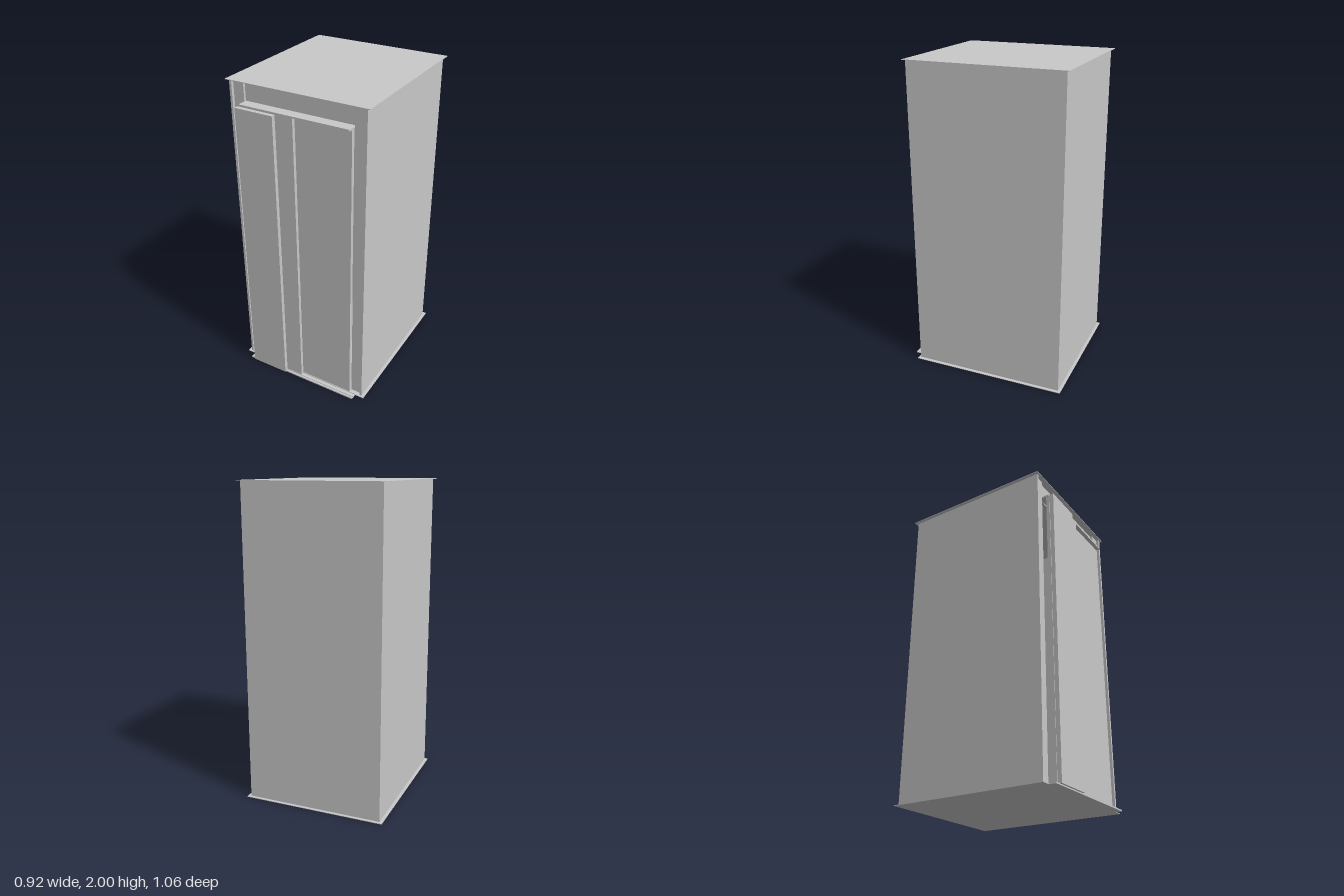
import * as THREE from 'three';

const grey = new THREE.MeshStandardMaterial({ color: 0xc8c8c8 });
grey.name = 'light grey steel';

// Box given by its extents on each axis
function slab(parent, name, x0, x1, y0, y1, z0, z1) {
  const mesh = new THREE.Mesh(new THREE.BoxGeometry(x1 - x0, y1 - y0, z1 - z0), grey);
  mesh.position.set((x0 + x1) / 2, (y0 + y1) / 2, (z0 + z1) / 2);
  mesh.name = name;
  parent.add(mesh);
  return mesh;
}

export function createModel() {
  const cabin = new THREE.Group();
  cabin.name = 'liftCabin';

  // Thin floor and roof sheets overhanging the walls
  slab(cabin, 'floor', -0.46, 0.46, 0, 0.004, -0.534, 0.475);
  slab(cabin, 'roof', -0.46, 0.46, 1.996, 2, -0.534, 0.475);

  // Walls; the side walls stand slightly proud of the front columns
  slab(cabin, 'backWall', -0.425, 0.425, 0.004, 1.996, -0.516, -0.501);
  for (const [side, s] of [['left', 1], ['right', -1]]) {
    const wall = [0.425 * s, 0.44 * s].sort((a, b) => a - b);
    const column = [0.356 * s, 0.425 * s].sort((a, b) => a - b);
    slab(cabin, side + 'Wall', ...wall, 0.004, 1.996, -0.516, 0.463);
    slab(cabin, side + 'FrontColumn', ...column, 0.004, 1.996, 0.40, 0.445);
  }

  // Recessed panel above the doorway
  slab(cabin, 'transom', -0.356, 0.356, 1.86, 1.996, 0.41, 0.43);

  // Header ledge with clipped front corners
  const ledge = new THREE.Shape([
    [-0.358, 0.43], [0.356, 0.43], [0.356, 0.493],
    [0.351, 0.498], [-0.353, 0.498], [-0.358, 0.493],
  ].map(([x, z]) => new THREE.Vector2(x, -z)).reverse());
  const header = new THREE.Mesh(
    new THREE.ExtrudeGeometry(ledge, { depth: 0.01, bevelEnabled: false }), grey);
  header.rotation.x = -Math.PI / 2;
  header.position.y = 1.865;
  header.name = 'doorHeader';
  cabin.add(header);

  // Three staggered sliding door leaves
  const doors = new THREE.Group();
  doors.name = 'slidingDoors';
  cabin.add(doors);
  slab(doors, 'outerDoorLeaf', -0.363, -0.11, 0.008, 1.865, 0.504, 0.53);
  slab(doors, 'middleDoorLeaf', -0.356, 0, 0.008, 1.865, 0.475, 0.498);
  slab(doors, 'innerDoorLeaf', -0.005, 0.355, 0.008, 1.865, 0.447, 0.472);

  // Sill with raised guide ribs
  slab(cabin, 'sill', -0.4, 0.4, 0, 0.005, 0.445, 0.518);
  for (const z of [0.474, 0.501, 0.516])
    slab(cabin, 'sillRib', -0.4, 0.4, 0.005, 0.009, z - 0.002, z + 0.002);

  return cabin;
}
